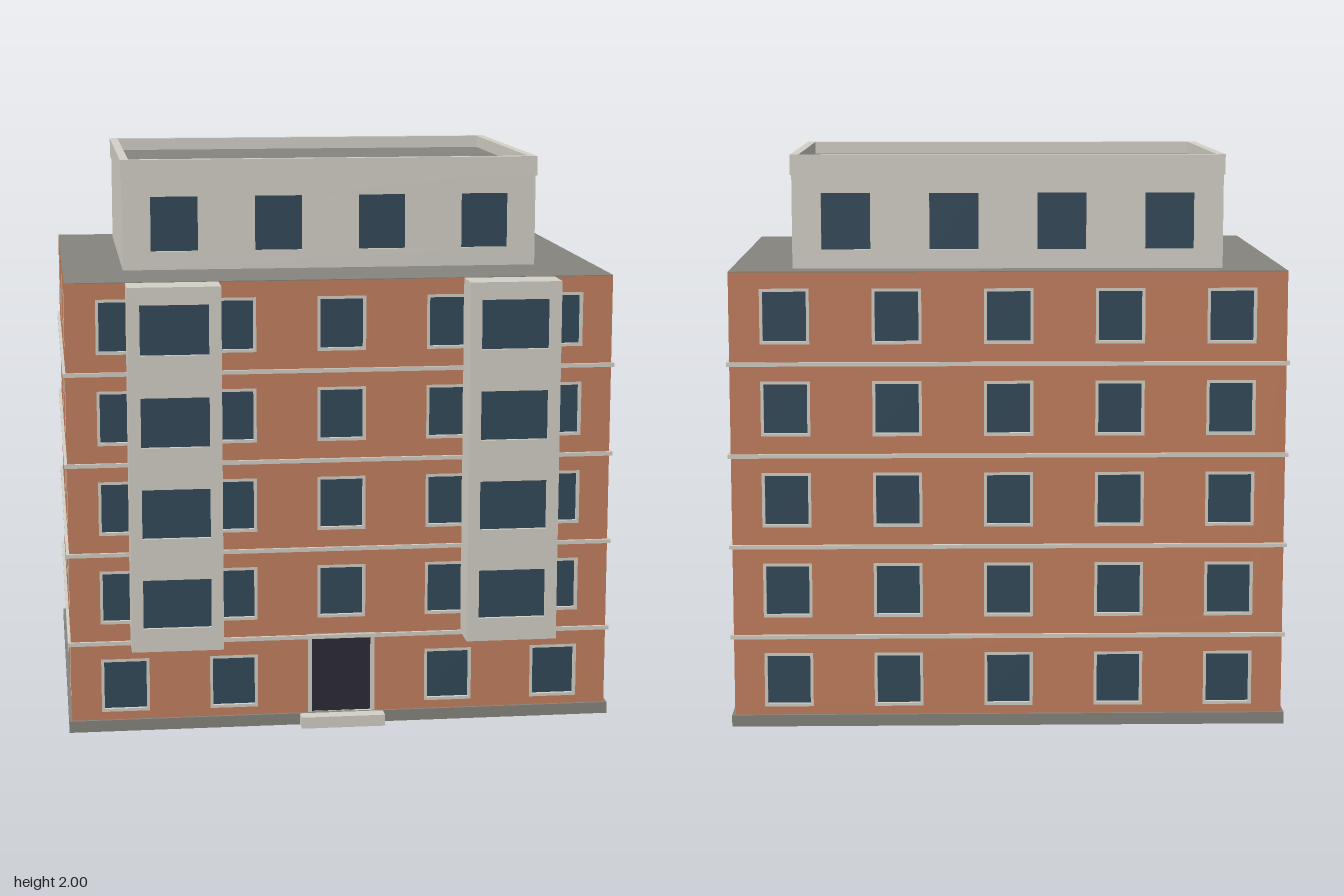
import * as THREE from 'three';

const mat = (name, color) => {
  const m = new THREE.MeshStandardMaterial({ color });
  m.name = name;
  return m;
};

// Closed rectangle, from min and max corners
const rect = (Type, x0, x1, y0, y1) =>
  new Type([[x0, y0], [x1, y0], [x1, y1], [x0, y1]].map(([x, y]) => new THREE.Vector2(x, y)));

export function createModel() {
  const brick = mat('brick', 0xc4805f);
  const concrete = mat('concrete', 0xd5d2c8);
  const grey = mat('roof grey', 0x87857e);
  const glass = mat('window glass', 0x334a5a);
  const dark = mat('door dark', 0x2c2b35);

  const model = new THREE.Group();
  model.name = 'apartmentBuilding';

  // Box from min and max corners
  function box(name, material, x0, x1, y0, y1, z0, z1, parent = model) {
    const mesh = new THREE.Mesh(new THREE.BoxGeometry(x1 - x0, y1 - y0, z1 - z0), material);
    mesh.position.set((x0 + x1) / 2, (y0 + y1) / 2, (z0 + z1) / 2);
    mesh.name = name;
    parent.add(mesh);
  }

  // Flat panel with rectangular holes, extruded along +z
  function panel(name, material, outer, holes, depth, parent = model) {
    const shape = rect(THREE.Shape, ...outer);
    holes.forEach((h) => shape.holes.push(rect(THREE.Path, ...h)));
    const mesh = new THREE.Mesh(new THREE.ExtrudeGeometry(shape, { depth, bevelEnabled: false }), material);
    mesh.name = name;
    parent.add(mesh);
    return mesh;
  }

  // Horizontal rectangular ring standing on height y
  function ring(name, material, x, zBack, zFront, t, y, height) {
    const mesh = panel(name, material, [-x, x, -zFront, -zBack],
      [[t - x, x - t, t - zFront, -zBack - t]], height);
    mesh.rotation.x = -Math.PI / 2;
    mesh.position.y = y;
  }

  // Outer wall layer with set-back windows; its face lies at the given x, z, turned about y
  const D = 0.014;
  function facade(name, material, width, y0, y1, openings, x, z, turn) {
    const g = new THREE.Group();
    g.name = name;
    const holes = openings.map(({ x, y, w, h }) => [x - w / 2, x + w / 2, y - h / 2, y + h / 2]);
    panel('wallLayer', material, [-width / 2, width / 2, y0, y1], holes, D, g).position.z = -D;
    openings.forEach(({ frame, fill }, i) => {
      const [a, b, c, d] = holes[i];
      if (frame) {
        const inner = [a + frame, b - frame, c + frame, d - frame];
        panel('openingFrame', concrete, holes[i], [inner], D, g).position.z = -D;
      }
      box(fill === dark ? 'door' : 'windowGlass', fill, a, b, c, d, -D - 0.002, 0.001 - D, g);
    });
    g.position.set(x, 0, z);
    g.rotation.y = turn;
    model.add(g);
  }

  const W = 0.963, ZF = 0.69, ZB = -0.8075, ZC = (ZF + ZB) / 2;
  const FLOOR = 0.3212, TOP = 5 * FLOOR, LIP = 0.0105;

  // Plinth with a shallow hollow underneath
  ring('plinth', grey, W + LIP, ZB - LIP, ZF + LIP, 0.02, 0, 0.041);
  box('baseSlab', grey, -W, W, 0.018, 0.03, ZB, ZF);

  // Main block, roof and floor bands
  const WALL0 = 0.022, WALL1 = TOP - 0.003;
  box('brickCore', brick, D - W, W - D, WALL0, WALL1, ZB + D, ZF - D);
  box('mainRoof', grey, -W, W, WALL1, TOP, ZB, ZF);
  for (let i = 1; i < 5; i++) {
    const y = i * FLOOR + 0.001;
    ring('floorBand', concrete, W + LIP, ZB - LIP, ZF + LIP, 0.02, y - 0.007, 0.014);
  }

  // Framed window openings: columns are spaced evenly, one row per floor
  function windows(columns, spacing) {
    const list = [];
    for (let f = 0; f < 5; f++) {
      for (let c = 0; c < columns; c++) {
        const x = (c - (columns - 1) / 2) * spacing;
        list.push({ x, y: 0.166 + f * FLOOR, w: 0.171, h: 0.193, frame: 0.0105, fill: glass });
      }
    }
    return list;
  }

  // Four brick walls; the door takes the middle place on the front ground floor
  const frontOpenings = windows(5, 0.386);
  frontOpenings[2] = { x: 0, y: 0.1795, w: 0.24, h: 0.305, frame: 0.014, fill: dark };
  facade('frontWall', brick, 2 * W, WALL0, WALL1, frontOpenings, 0, ZF, 0);
  facade('backWall', brick, 2 * W, WALL0, WALL1, windows(5, 0.386), 0, ZB, Math.PI);
  for (const s of [-1, 1]) {
    facade('sideWall', brick, ZF - ZB - 2 * D, WALL0, WALL1, windows(3, 0.498), s * W, ZC, s * Math.PI / 2);
  }
  box('entranceStep', concrete, -0.15, 0.15, 0, 0.041, ZF + LIP, 0.752);

  // Projecting bays
  const bayWindows = [0, 1, 2, 3].map((f) => ({ x: 0, y: 0.492 + f * FLOOR, w: 0.238, h: 0.174, fill: glass }));
  for (const s of [-1, 1]) {
    const x = s * 0.592;
    box('bay', concrete, x - 0.161, x + 0.161, 0.322, 1.604, ZF - 0.005, 0.818 - D);
    facade('bayFront', concrete, 0.322, 0.322, 1.604, bayWindows, x, 0.818, 0);
  }

  // Penthouse with flat roof and slightly overhanging parapet
  const PX = 0.748, PF = 0.366, PB = -0.7, ROOF = 1.955;
  const topWindows = [-1.5, -0.5, 0.5, 1.5].map((c) => ({ x: c * 0.375, y: 1.77, w: 0.17, h: 0.196, fill: glass }));
  box('penthouse', concrete, -PX, PX, TOP, ROOF - 0.003, PB + D, PF - D);
  facade('penthouseFront', concrete, 2 * PX, TOP, ROOF - 0.003, topWindows, 0, PF, 0);
  facade('penthouseBack', concrete, 2 * PX, TOP, ROOF - 0.003, topWindows, 0, PB, Math.PI);
  box('penthouseRoof', grey, 0.01 - PX, PX - 0.01, ROOF - 0.004, ROOF, PB + 0.01, PF - 0.01);
  ring('parapet', concrete, PX + 0.005, PB - 0.005, PF + 0.005, 0.03, 1.93, 0.07);

  return model;
}
